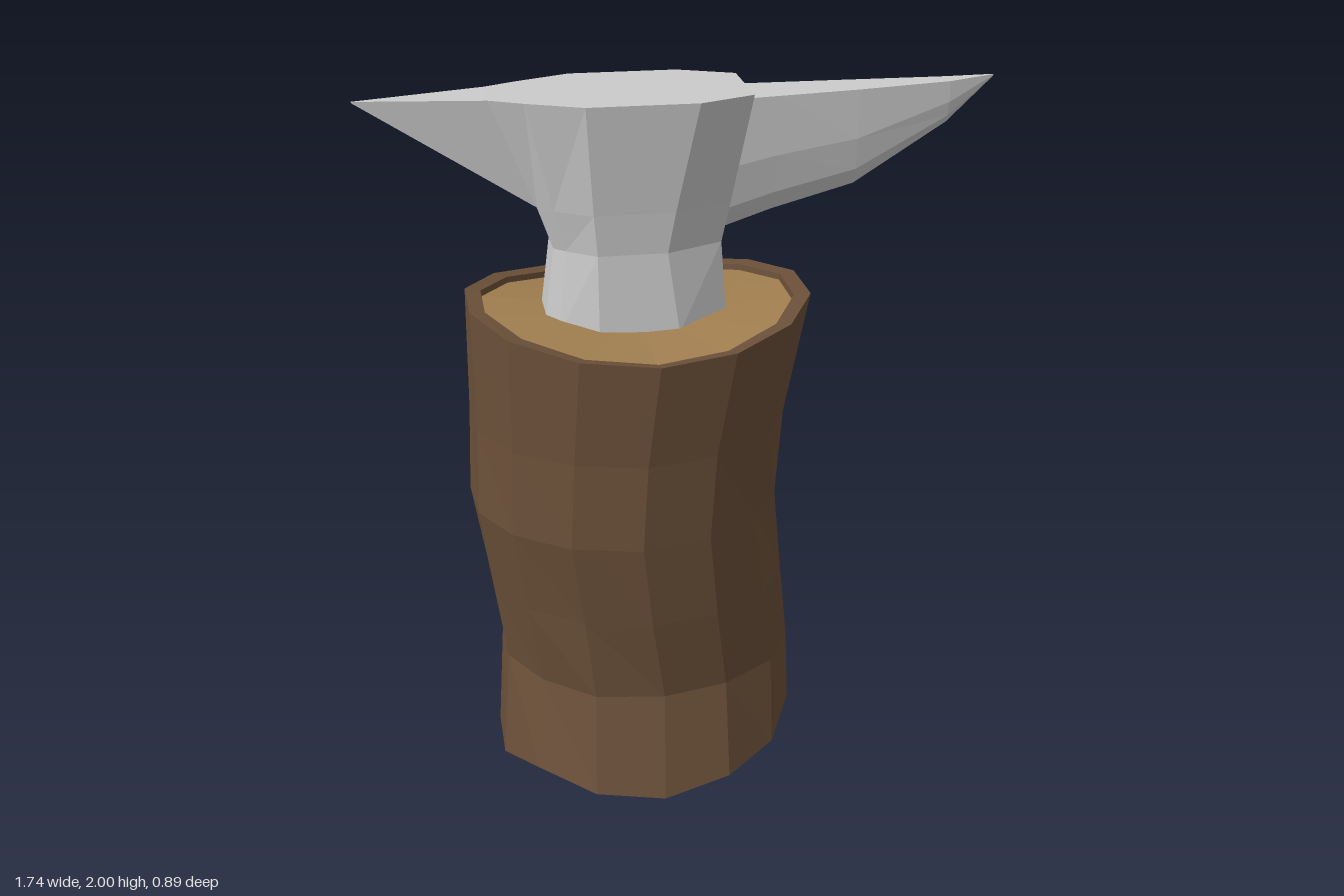
import * as THREE from 'three';

const material = (color) => new THREE.MeshStandardMaterial({ color, flatShading: true, side: THREE.DoubleSide });

// Skin a list of equal-length rings of points, optionally closing both ends.
function loft(rings, caps = true) {
  const tris = [];
  const n = rings[0].length;
  for (let r = 0; r < rings.length - 1; r++) {
    for (let i = 0; i < n; i++) {
      const j = (i + 1) % n;
      const [a, b, c, d] = [rings[r][i], rings[r][j], rings[r + 1][j], rings[r + 1][i]];
      tris.push([a, c, b], [a, d, c]);
    }
  }
  if (caps) {
    const first = rings[0], last = rings[rings.length - 1];
    const middle = (ring) => ring.reduce((s, p) => s.add(p), new THREE.Vector3()).divideScalar(n);
    const m0 = middle(first), m1 = middle(last);
    for (let i = 0; i < n; i++) {
      const j = (i + 1) % n;
      tris.push([m0, first[i], first[j]], [m1, last[j], last[i]]);
    }
  }
  // Turn the faces outwards whichever way the rings run.
  const centre = new THREE.Box3().setFromPoints(rings.flat()).getCenter(new THREE.Vector3());
  let volume = 0;
  for (const t of tris) {
    const [a, b, c] = t.map((p) => p.clone().sub(centre));
    volume += a.dot(b.cross(c));
  }
  if (volume < 0) tris.forEach((t) => t.reverse());
  const geometry = new THREE.BufferGeometry().setFromPoints(tris.flat());
  geometry.computeVertexNormals();
  return geometry;
}

function part(name, geometry, mat) {
  const mesh = new THREE.Mesh(geometry, mat);
  mesh.name = name;
  return mesh;
}

// Small repeatable noise in -1..1.
const noise = (i, k) => {
  const s = Math.sin(i * 12.99 + k * 78.23) * 43758.55;
  return (s - Math.floor(s)) * 2 - 1;
};

const SIDES = 14;
const bottomEdge = [0.12, 0.08, 0.06, 0.03, 0.04, 0.065, 0.015, 0.01, 0, 0.015, 0.04, 0.05, 0.06, 0.075];
const topEdge = (a) => 1.402 + 0.03 * Math.cos(2 * a);

function logRing(cx, cz, rx, rz, height, wobble = 0, seed = 0) {
  return Array.from({ length: SIDES }, (_, i) => {
    const a = ((i + 0.5) / SIDES) * Math.PI * 2;
    const k = 1 + wobble * noise(i, seed);
    return new THREE.Vector3(cx + rx * k * Math.cos(a), height(a, i), cz + rz * k * Math.sin(a));
  });
}

function createStump() {
  const stump = new THREE.Group();
  stump.name = 'stump';
  const low = (lift) => (a, i) => bottomEdge[i] + lift;
  const high = (drop) => (a) => topEdge(a) - drop;
  // Middle rings: y, centre x, centre z, radius x, radius z
  const middle = [
    [0.33, -0.108, -0.018, 0.436, 0.385],
    [0.58, -0.145, 0, 0.432, 0.392],
    [0.83, -0.172, 0.025, 0.444, 0.39],
    [1.08, -0.158, 0.01, 0.452, 0.412],
  ].map(([y, cx, cz, rx, rz], k) => logRing(cx, cz, rx, rz, () => y, 0.025, k + 1));

  // Bark tube with a thick rim at both ends
  const bark = loft([
    logRing(-0.118, 0, 0.39, 0.385, low(0.05)),
    logRing(-0.118, 0, 0.395, 0.39, low(0.005)),
    logRing(-0.118, 0, 0.448, 0.44, low(0), 0.01, 9),
    ...middle,
    logRing(-0.125, 0, 0.484, 0.446, high(0), 0.008, 7),
    logRing(-0.125, 0, 0.44, 0.405, high(0.005)),
    logRing(-0.125, 0, 0.435, 0.4, high(0.05)),
  ], false);
  stump.add(part('bark', bark, material(0x6b5039)));

  // Cut wood, slightly sunk inside the bark
  const wood = loft([
    logRing(-0.118, 0, 0.392, 0.387, low(0.025)),
    logRing(-0.14, 0, 0.37, 0.33, () => 0.7),
    logRing(-0.125, 0, 0.437, 0.402, high(0.022)),
  ]);
  stump.add(part('wood', wood, material(0xa17f50)));
  return stump;
}

// Horizontal body section: half outline mirrored across z = 0.
function bodyRing(y, half) {
  return [
    ...half.map(([x, z]) => new THREE.Vector3(x, y, z)),
    ...half.slice().reverse().map(([x, z]) => new THREE.Vector3(x, y, -z)),
  ];
}

// Vertical horn section: flat top and rounded keel.
function hornRing(xTop, xBottom, top, bottom, width) {
  const half = [[1, 1], [0.92, 0.5], [0.65, 0.17], [0.24, 0]];
  const at = (z, h) => new THREE.Vector3(
    xBottom + (xTop - xBottom) * h, bottom + (top - bottom) * h, z * width);
  return [
    ...half.map(([z, h]) => at(z, h)),
    ...half.slice().reverse().map(([z, h]) => at(-z, h)),
  ];
}

function createAnvil() {
  const anvil = new THREE.Group();
  anvil.name = 'anvil';
  const steel = material(0xcccccc);

  // Waisted body with a flat face
  anvil.add(part('body', loft([
    bodyRing(1.36, [[-0.39, 0.06], [-0.35, 0.1], [-0.25, 0.165], [-0.03, 0.165], [0.115, 0.08]]),
    bodyRing(1.585, [[-0.36, 0.06], [-0.33, 0.09], [-0.25, 0.152], [-0.06, 0.152], [0.1, 0.075]]),
    bodyRing(1.7, [[-0.4, 0.06], [-0.36, 0.1], [-0.26, 0.163], [-0.04, 0.163], [0.122, 0.088]]),
    bodyRing(2, [[-0.52, 0.08], [-0.43, 0.13], [-0.28, 0.2], [0.02, 0.2], [0.175, 0.13]]),
  ]), steel));

  // Pointed heel
  const heelRing = (pts) => pts.map((p) => new THREE.Vector3(...p));
  anvil.add(part('heel', loft([
    heelRing([[-0.52, 2, 0.08], [-0.52, 2, -0.08], [-0.4, 1.7, -0.055], [-0.4, 1.7, 0.055]]),
    heelRing([[-0.87, 1.992, 0.001], [-0.87, 1.992, -0.001], [-0.868, 1.988, -0.001], [-0.868, 1.988, 0.001]]),
  ]), steel));

  // Long curved horn
  anvil.add(part('horn', loft([
    hornRing(0.14, 0.08, 1.98, 1.6, 0.09),
    hornRing(0.25, 0.25, 1.982, 1.655, 0.08),
    hornRing(0.48, 0.48, 1.986, 1.715, 0.06),
    hornRing(0.74, 0.74, 1.992, 1.875, 0.03),
    hornRing(0.87, 0.868, 2, 1.994, 0.002),
  ]), steel));
  return anvil;
}

export function createModel() {
  const model = new THREE.Group();
  model.name = 'anvilOnStump';
  model.add(createStump(), createAnvil());
  return model;
}
